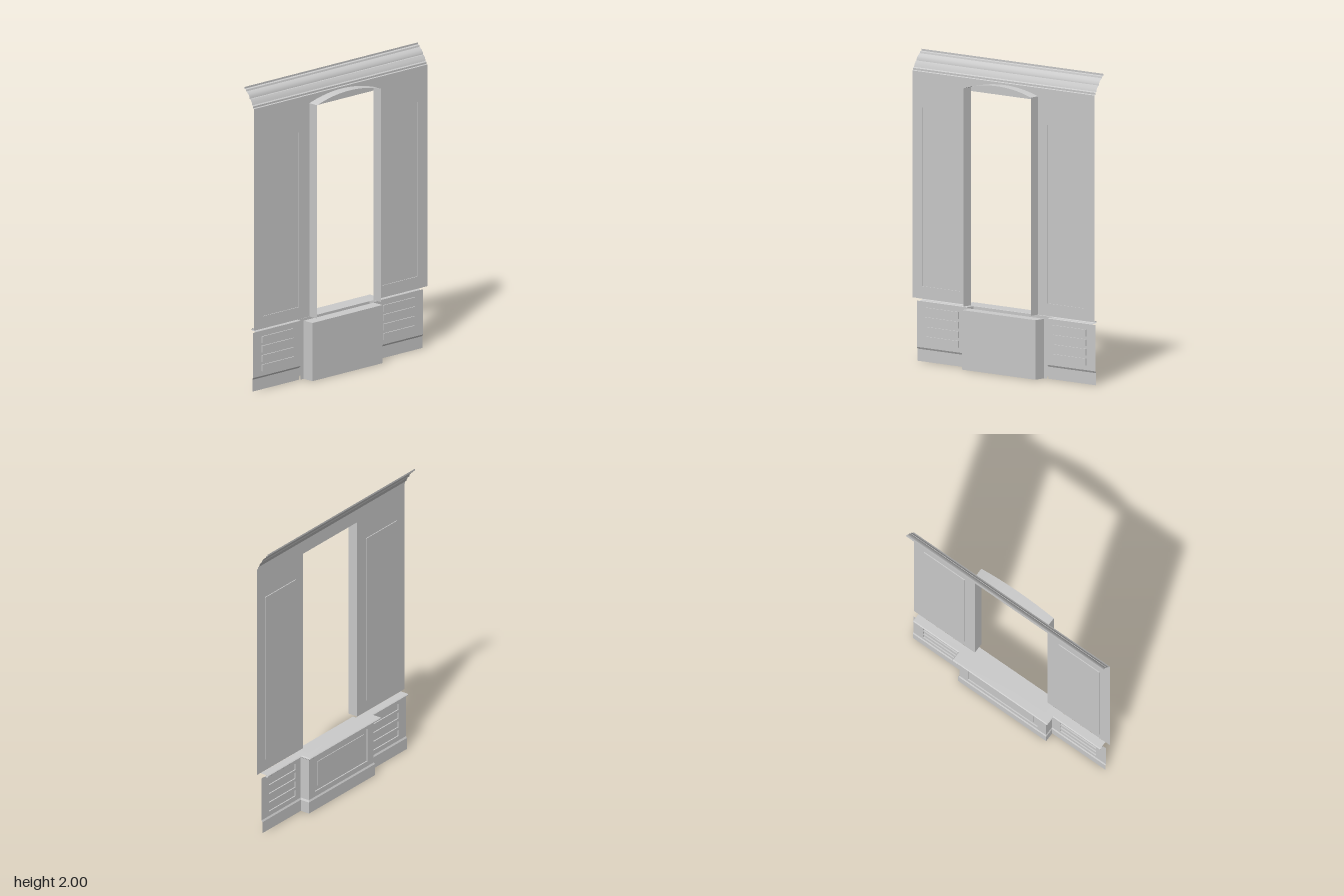
import * as THREE from 'three';
import { toCreasedNormals } from 'three/addons/utils/BufferGeometryUtils.js';

const material = new THREE.MeshStandardMaterial({ color: 0xcccccc, side: THREE.DoubleSide });
const C = -0.007;        // z centre of window and bench
const BENCH = 0.34;      // half width of bench
const DEPTH = 0.065;     // how far the bench stands out
const WALL_X = 0.025;
const HALF = 0.772;      // half length of the wall

// Surface through a list of equally long 3D polylines
function ruled(rows) {
  const n = rows[0].length, index = [];
  for (let i = 0; i < rows.length - 1; i++) {
    for (let j = 0; j < n - 1; j++) {
      const a = i * n + j, b = a + n;
      index.push(a, a + 1, b, b, a + 1, b + 1);
    }
  }
  const g = new THREE.BufferGeometry();
  g.setAttribute('position', new THREE.Float32BufferAttribute(rows.flat(2), 3));
  g.setIndex(index);
  return toCreasedNormals(g, 0.4);
}

function add(parent, name, geometry) {
  const mesh = new THREE.Mesh(geometry, material);
  mesh.name = name;
  parent.add(mesh);
  return mesh;
}

// A rectangle is [z0, z1, y0, y1]; its corners form a closed loop at depth x
const corners = ([z0, z1, y0, y1], x) =>
  [[x, y0, z0], [x, y0, z1], [x, y1, z1], [x, y1, z0], [x, y0, z0]];

// Upright sheet facing -x with rectangular holes
function face(x, [z0, z1, y0, y1], holes = []) {
  const points = (r) => corners(r, 0).slice(0, 4).map(p => new THREE.Vector2(p[2], p[1]));
  const shape = new THREE.Shape(points([z0, z1, y0, y1]));
  for (const h of holes) shape.holes.push(new THREE.Path(points(h).reverse()));
  return new THREE.ShapeGeometry(shape).rotateY(-Math.PI / 2).translate(x, 0, 0);
}

// Panel sunk or raised from depth x0 to x1
function panel(parent, name, rect, x0, x1, holes = []) {
  add(parent, name + 'Edge', ruled([corners(rect, x0), corners(rect, x1)]));
  add(parent, name, face(x1, rect, holes));
}

// Plan line of the lower wall, stepping out around the bench, offset by d
const plan = (d, y, end) => {
  const a = C + BENCH + d, b = C - BENCH - d;
  return [[-d, y, end], [-d, y, a], [-DEPTH - d, y, a], [-DEPTH - d, y, b], [-d, y, b], [-d, y, -end]];
};
const sweep = (profile, end) => ruled(profile.map(([d, y]) => plan(d, y, end)));

export function createModel() {
  const model = new THREE.Group();
  model.name = 'windowWall';

  // Upper wall and lower wall on each side
  for (const s of [1, -1]) {
    const side = new THREE.Group();
    side.name = s > 0 ? 'leftWall' : 'rightWall';
    model.add(side);
    const span = (a, b, y0, y1) => (s > 0 ? [a, b, y0, y1] : [-b, -a, y0, y1]);

    const tall = span(0.37, 0.69, 0.49, 1.64);
    add(side, 'upperWall', face(WALL_X, span(0.285 + s * C, HALF, 0.41, 1.79), [tall]));
    panel(side, 'tallPanel', tall, WALL_X, 0.019);

    const slots = [];
    for (let i = 0; i < 4; i++) {
      const y = 0.122 + i * 0.062;
      slots.push(span(0.4, 0.68, y, y + 0.043));
    }
    add(side, 'lowerWall', face(0, span(BENCH + s * C, 0.757, 0.09, 0.388), slots));
    for (const slot of slots) panel(side, 'ventSlot', slot, 0, 0.008);
  }

  // Frieze and cornice, an open moulding along the wall
  const cornice = [
    [WALL_X, 1.79], [WALL_X, 1.87], [0.018, 1.874], [0.018, 1.886], [0.01, 1.892],
    [0.004, 1.91], [-0.008, 1.928], [-0.014, 1.93], [-0.016, 1.942], [-0.026, 1.958],
    [-0.04, 1.97], [-0.045, 1.973], [-0.048, 1.984], [-0.06, 1.988], [-0.06, 2.0],
  ];
  add(model, 'cornice', ruled([HALF, -HALF].map(z => cornice.map(([x, y]) => [x, y, z]))));

  // Window reveal with a shallow arched head
  const w = 0.285, spring = 1.815, rise = 0.043;
  const radius = (w * w + rise * rise) / (2 * rise);
  const outline = [[C + w, 0.41]];
  for (let i = 0; i <= 20; i++) {
    const z = w - (2 * w * i) / 20;
    outline.push([C + z, spring + rise - radius + Math.sqrt(radius * radius - z * z)]);
  }
  outline.push([C - w, 0.41]);
  add(model, 'windowReveal', ruled([WALL_X, 0.095].map(x => outline.map(([z, y]) => [x, y, z]))));

  // Baseboard and cap moulding follow the wall around the bench
  add(model, 'baseboard', sweep([[0.006, 0], [0.006, 0.078], [0.003, 0.084], [0, 0.09]], 0.757));
  add(model, 'capMoulding', sweep(
    [[0, 0.385], [0.006, 0.392], [0.028, 0.393], [0.034, 0.398], [0.034, 0.403], [0.028, 0.408], [-WALL_X, 0.409]], 0.735));

  // Window bench
  const bench = new THREE.Group();
  bench.name = 'bench';
  model.add(bench);
  const centred = (half, y0, y1) => [C - half, C + half, y0, y1];
  const outer = centred(0.275, 0.125, 0.355), inner = centred(0.24, 0.155, 0.325);
  add(bench, 'benchFront', face(-DEPTH, centred(BENCH, 0.09, 0.388), [outer]));
  panel(bench, 'benchPanel', outer, -DEPTH, -0.057, [inner]);
  panel(bench, 'benchInnerPanel', inner, -0.057, -0.062);
  for (const s of [1, -1]) {
    const z = C + s * BENCH;
    add(bench, 'benchSide', ruled([0.09, 0.388].map(y => [[-DEPTH, y, z], [0, y, z]])));
    // strip closing the step between bench and rear box
    const b = C + s * 0.312;
    add(bench, 'benchReturn', ruled([0, 0.385].map(y => [[0, y, z], [0, y, b]])));
  }
  add(bench, 'seat', ruled([-0.04, WALL_X].map(x => [[x, 0.409, C - 0.316], [x, 0.409, C + 0.316]])));

  // Rear box behind the bench, open below
  const u = [[0, C + 0.312], [0.08, C + 0.312], [0.08, C - 0.312], [0, C - 0.312]];
  add(bench, 'rearBox', ruled([0, 0.383].map(y => u.map(([x, z]) => [x, y, z]))));
  add(bench, 'rearBoxTop', ruled([0, 0.08].map(x => [[x, 0.383, C - 0.312], [x, 0.383, C + 0.312]])));

  return model;
}
